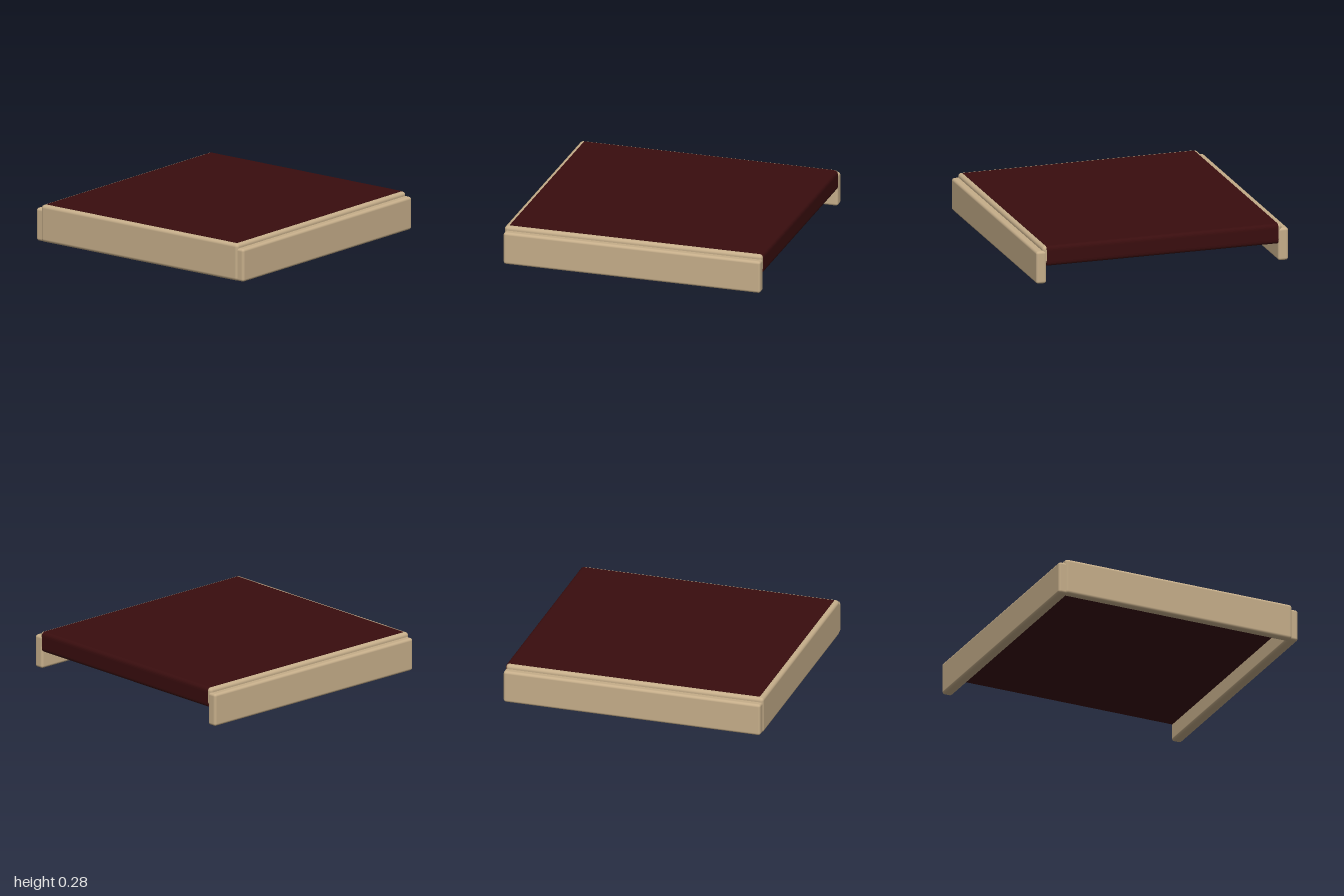
import * as THREE from 'three';
import { RoundedBoxGeometry } from 'three/addons/geometries/RoundedBoxGeometry.js';

export function createModel() {
  const group = new THREE.Group();
  const cream = new THREE.MeshStandardMaterial({ color: 0xc6ae8a });
  const maroon = new THREE.MeshStandardMaterial({ color: 0x390d0e });
  cream.name = 'cream';
  maroon.name = 'maroon';

  // Rounded board given by its min and max corners
  function board(name, min, max, radius) {
    const size = max.map((v, i) => v - min[i]);
    const mesh = new THREE.Mesh(new RoundedBoxGeometry(...size, 3, radius), cream);
    mesh.position.set(...max.map((v, i) => (v + min[i]) / 2));
    mesh.name = name;
    group.add(mesh);
  }

  // Front board
  board('frontBoard', [-0.93, 0, 0.935], [0.93, 0.282, 1], 0.025);

  // Outer side rails and the raised trim inside them
  for (const [side, s] of [['left', 1], ['right', -1]]) {
    const span = (a, b) => (s > 0 ? [a, b] : [-b, -a]);
    const [r0, r1] = span(0.9, 0.98);
    board(side + 'Rail', [r0, 0, -0.998], [r1, 0.25, 0.992], 0.02);
    const [t0, t1] = span(0.86, 0.93);
    board(side + 'Trim', [t0, 0.15, -0.995], [t1, 0.282, 0.99], 0.025);
  }

  // Slab: side profile with a rounded rear edge, swept across the width
  const top = 0.285, bottom = 0.13, back = -1, front = 0.965, r = 0.035;
  const profile = new THREE.Shape();
  profile.moveTo(front, bottom);
  profile.lineTo(front, top);
  profile.lineTo(back + r, top);
  profile.quadraticCurveTo(back, top, back, top - r);
  profile.lineTo(back, bottom + r);
  profile.quadraticCurveTo(back, bottom, back + r, bottom);
  profile.closePath();
  const slabGeometry = new THREE.ExtrudeGeometry(profile, { depth: 1.8, bevelEnabled: false, curveSegments: 6 });
  slabGeometry.translate(0, 0, -0.9);
  slabGeometry.rotateY(-Math.PI / 2);
  const slab = new THREE.Mesh(slabGeometry, maroon);
  slab.name = 'slab';
  group.add(slab);

  return group;
}
